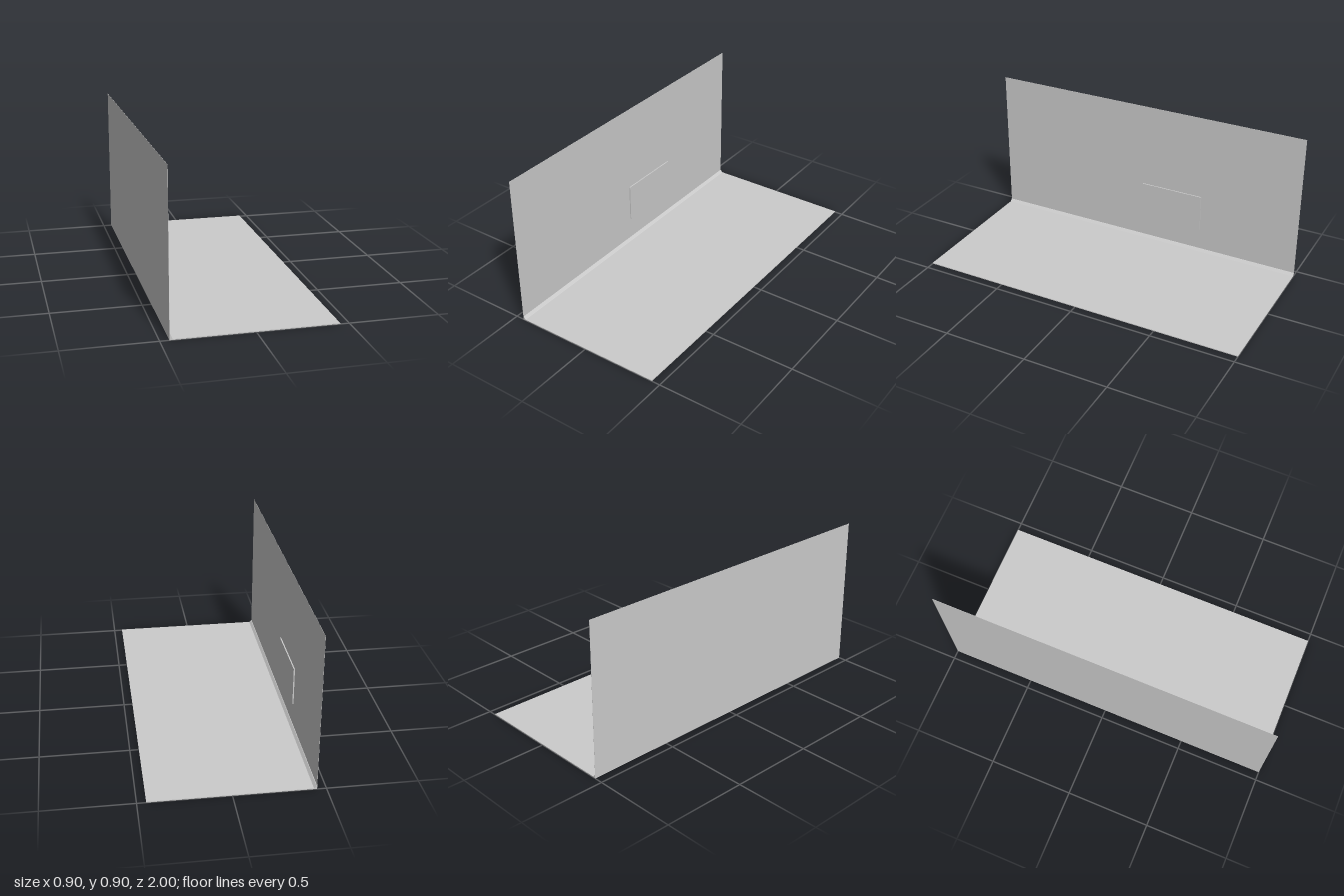
import * as THREE from 'three';

const material = new THREE.MeshStandardMaterial({ color: 0xcccccc, flatShading: true });

// Box given by its minimum and maximum corners
function slab(name, min, max) {
  const size = max.map((v, i) => v - min[i]);
  const mesh = new THREE.Mesh(new THREE.BoxGeometry(...size), material);
  mesh.position.set(...min.map((v, i) => v + size[i] / 2));
  mesh.name = name;
  return mesh;
}

export function createModel() {
  const model = new THREE.Group();
  model.name = 'wallAndFloor';

  // Thin floor, upright wall along its right edge, raised panel on the wall
  model.add(
    slab('floor', [-0.45, 0, -1], [0.45, 0.005, 1]),
    slab('wall', [-0.45, 0, -1], [-0.449, 0.9, 1]),
    slab('wallPanel', [-0.449, 0.154, -0.38], [-0.442, 0.38, 0.015]),
  );

  // Bevelled skirting running along the corner
  const profile = new THREE.Shape([
    [-0.449, 0.005], [-0.433, 0.005], [-0.436, 0.008], [-0.446, 0.019], [-0.449, 0.02],
  ].map(([x, y]) => new THREE.Vector2(x, y)));
  const skirting = new THREE.Mesh(
    new THREE.ExtrudeGeometry(profile, { depth: 2, bevelEnabled: false }),
    material,
  );
  skirting.position.z = -1;
  skirting.name = 'skirting';
  model.add(skirting);

  return model;
}
